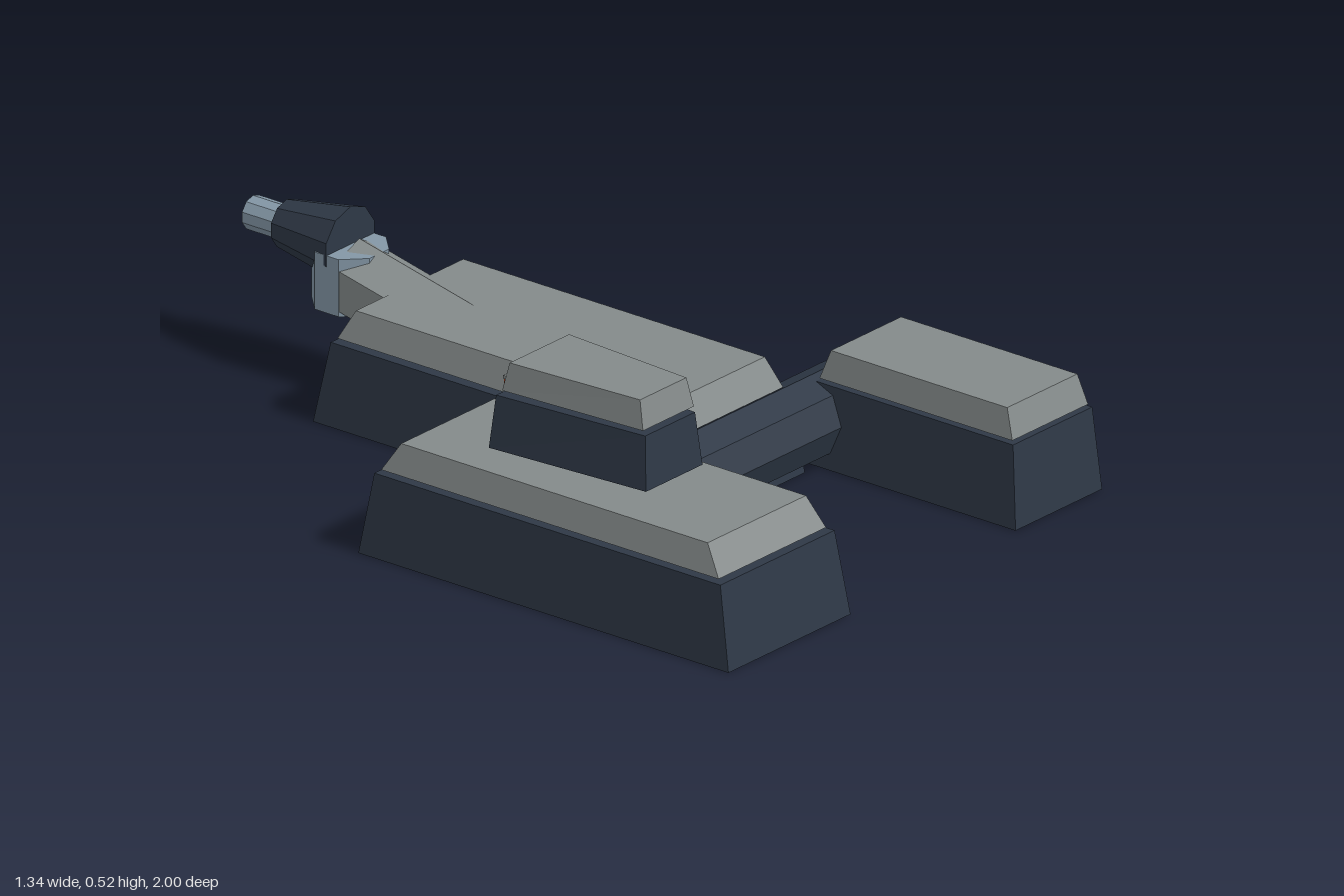
import * as THREE from 'three';

const material = (color) => new THREE.MeshStandardMaterial({ color, flatShading: true });

export function createModel() {
  const model = new THREE.Group();
  const dark = material(0x2e3846);
  const grey = material(0x848a8a);
  const steel = material(0x8497a6);
  const orange = material(0xe0552b);

  function add(parent, name, geometry, mat) {
    const mesh = new THREE.Mesh(geometry, mat);
    mesh.name = name;
    parent.add(mesh);
    return mesh;
  }

  // Tapered block; each level is [y, half width at back, half width at front, back z, front z]
  function taperedBlock(cx, low, high) {
    const g = new THREE.BoxGeometry(2, 2, 2);
    const p = g.attributes.position;
    for (let i = 0; i < p.count; i++) {
      const [y, halfBack, halfFront, zBack, zFront] = p.getY(i) < 0 ? low : high;
      const front = p.getZ(i) > 0;
      p.setXYZ(i, cx + p.getX(i) * (front ? halfFront : halfBack), y, front ? zFront : zBack);
    }
    g.computeVertexNormals();
    return g;
  }

  // Three hulls, each a dark body with a separate grey deck just above it
  const hulls = [
    { name: 'rightHull', x: -0.455, w: [0.216, 0.202, 0.19, 0.174],
      back: [-0.075, -0.04, -0.03, 0.015], front: [1, 0.965, 0.95, 0.905] },
    { name: 'centreHull', x: 0.08, w: [0.238, 0.224, 0.21, 0.19],
      back: [-0.628, -0.588, -0.58, -0.543], front: [0.41, 0.375, 0.37, 0.333] },
    { name: 'leftHull', x: 0.516, w: [0.153, 0.14, 0.134, 0.124],
      back: [0.375, 0.392, 0.4, 0.425], front: [0.985, 0.967, 0.96, 0.937] },
  ];
  for (const { name, x, w, back, front } of hulls) {
    const group = new THREE.Group();
    group.name = name;
    const level = (y, i) => [y, w[i], w[i], back[i], front[i]];
    add(group, name + 'Body', taperedBlock(x, level(0, 0), level(0.2, 1)), dark);
    add(group, name + 'Deck', taperedBlock(x, level(0.207, 2), level(0.278, 3)), grey);
    model.add(group);
  }

  // Octagonal beam joining the hulls
  const beam = add(model, 'crossBeam', new THREE.CylinderGeometry(0.098, 0.098, 0.98, 8), dark);
  beam.rotation.z = Math.PI / 2;
  beam.position.set(0.025, 0.11, 0.375);

  // Floating bridge, wider at the back, with a lit window
  const bridge = new THREE.Group();
  bridge.name = 'bridge';
  add(bridge, 'bridgeBody', taperedBlock(-0.445,
    [0.307, 0.13, 0.1, 0.225, 0.657], [0.436, 0.12, 0.088, 0.238, 0.645]), dark);
  add(bridge, 'bridgeRoof', taperedBlock(-0.445,
    [0.448, 0.113, 0.09, 0.25, 0.64], [0.517, 0.105, 0.082, 0.265, 0.625]), grey);
  const light = add(bridge, 'bridgeWindow', new THREE.BoxGeometry(0.19, 0.024, 0.03), orange);
  light.position.set(-0.445, 0.459, 0.255);
  const lip = add(bridge, 'windowLip', new THREE.BoxGeometry(0.2, 0.008, 0.03), grey);
  lip.position.set(-0.445, 0.475, 0.257);
  model.add(bridge);

  // Rear gun: tilted hexagonal neck, upright pivot, tapered head and barrel
  const gun = new THREE.Group();
  gun.name = 'rearGun';
  gun.position.x = 0.08;
  const tilt = Math.atan(0.22);
  const neckGeometry = new THREE.CylinderGeometry(0.096, 0.096, 0.38, 6);
  neckGeometry.translate(0, -0.19, 0);
  const neck = add(gun, 'gunNeck', neckGeometry, grey);
  neck.rotation.x = -Math.PI / 2 + tilt;
  neck.position.set(0, 0.258, -0.71);

  const pivotGeometry = new THREE.CylinderGeometry(0.091, 0.091, 0.14, 8);
  pivotGeometry.rotateY(Math.PI / 8);
  add(gun, 'gunPivot', pivotGeometry, steel).position.set(0, 0.26, -0.715);

  // Tapers along -z, one vertex pointing up
  function rearCylinder(name, rFront, rBack, zFront, zBack, mat) {
    const g = new THREE.CylinderGeometry(rBack, rFront, zFront - zBack, 10);
    g.rotateX(-Math.PI / 2);
    add(gun, name, g, mat).position.set(0, 0.332, (zFront + zBack) / 2);
  }
  rearCylinder('gunHead', 0.09, 0.058, -0.715, -0.9, dark);
  rearCylinder('gunBarrel', 0.041, 0.041, -0.9, -0.998, steel);
  rearCylinder('muzzleGlow', 0.032, 0.032, -0.98, -1, orange);
  model.add(gun);

  return model;
}
